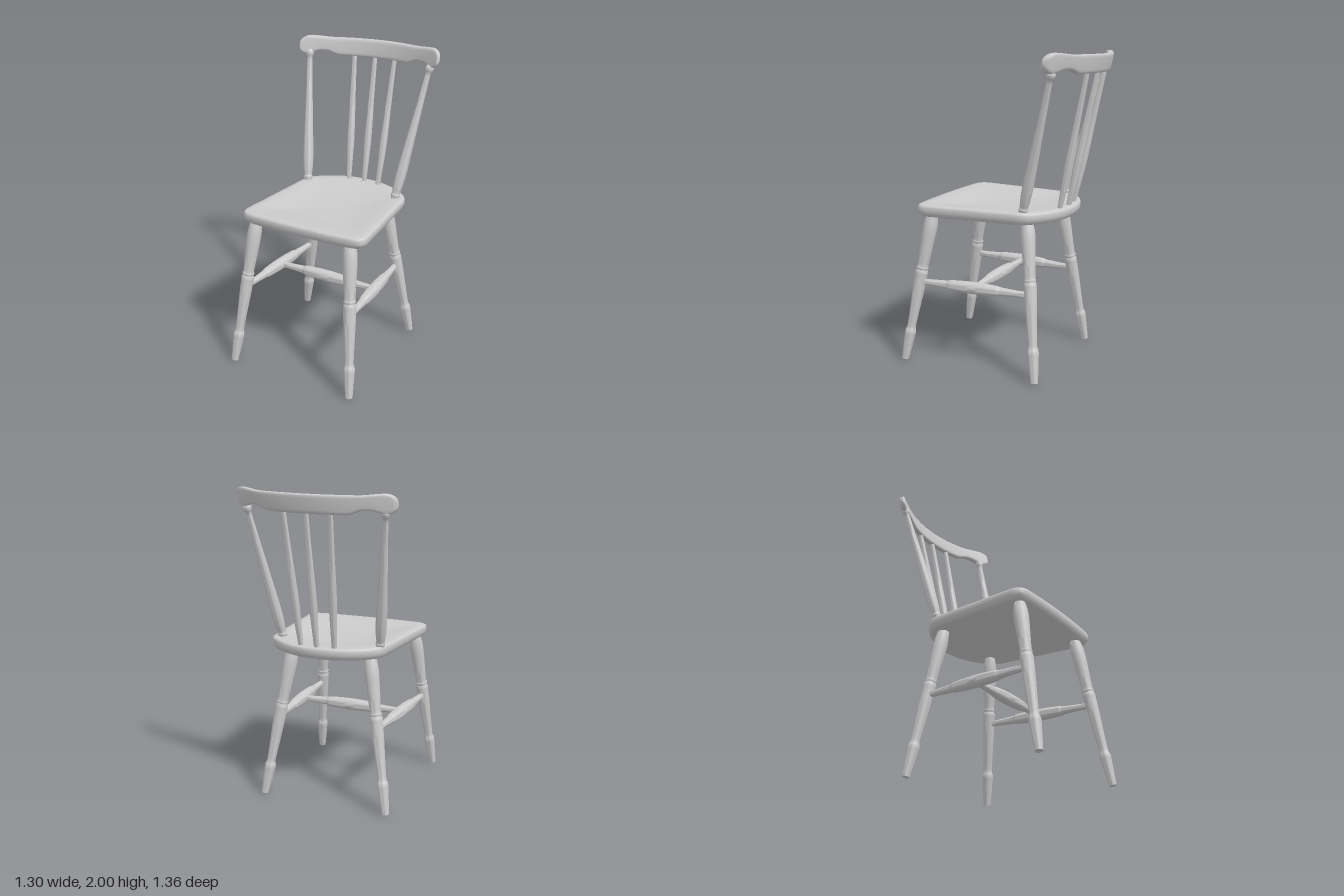
import * as THREE from 'three';
import { toCreasedNormals } from 'three/addons/utils/BufferGeometryUtils.js';

const material = new THREE.MeshStandardMaterial({ color: 0xcccccc });
const V = (x, y, z) => new THREE.Vector3(x, y, z);

function addMesh(parent, geometry, name) {
  const mesh = new THREE.Mesh(geometry, material);
  mesh.name = name;
  parent.add(mesh);
  return mesh;
}

// Turned wooden part from point a to point b; profile is [fraction of length, radius]
function turned(parent, name, a, b, profile) {
  const length = a.distanceTo(b);
  const curve = new THREE.SplineCurve(profile.map(([t, r]) => new THREE.Vector2(r, t * length)));
  const points = curve.getPoints(profile.length * 5);
  points.unshift(new THREE.Vector2(0, 0));
  points.push(new THREE.Vector2(0, length));
  const mesh = addMesh(parent, toCreasedNormals(new THREE.LatheGeometry(points, 24), 0.8), name);
  mesh.position.copy(a);
  mesh.quaternion.setFromUnitVectors(V(0, 1, 0), b.clone().sub(a).normalize());
}

// Skin over closed rings of equal point count
function loft(rings) {
  const n = rings[0].length, index = [];
  for (let i = 0; i < rings.length - 1; i++) {
    for (let j = 0; j < n; j++) {
      const k = (j + 1) % n, a = i * n + j, b = i * n + k;
      index.push(a, b, b + n, a, b + n, a + n);
    }
  }
  const geometry = new THREE.BufferGeometry().setFromPoints(rings.flat());
  geometry.setIndex(index);
  geometry.computeVertexNormals();
  return geometry;
}

// Seat: rounded outline with a bowed back, eased edges and a shallow dish
function buildSeat() {
  const s = new THREE.Shape();
  s.moveTo(0, 0.445);
  s.quadraticCurveTo(0.2, 0.445, 0.36, 0.432);
  s.quadraticCurveTo(0.445, 0.425, 0.434, 0.34);
  s.lineTo(0.383, -0.25);
  s.quadraticCurveTo(0.378, -0.305, 0.345, -0.335);
  s.quadraticCurveTo(0.2, -0.475, 0, -0.475);
  s.quadraticCurveTo(-0.2, -0.475, -0.345, -0.335);
  s.quadraticCurveTo(-0.378, -0.305, -0.383, -0.25);
  s.lineTo(-0.434, 0.34);
  s.quadraticCurveTo(-0.445, 0.425, -0.36, 0.432);
  s.quadraticCurveTo(-0.2, 0.445, 0, 0.445);
  const outline = s.getSpacedPoints(120).slice(0, -1);
  const levels = [
    [0, 0.975], [0.94, 0.975], [0.965, 0.98], [0.985, 0.995], [1, 1.008], [1, 1.035], [0.992, 1.044],
    [0.975, 1.049], [0.9, 1.048], [0.78, 1.046], [0.68, 1.039], [0.55, 1.031], [0.35, 1.026], [0, 1.024],
  ];
  const rings = levels.map(([k, y]) => outline.map((p) => V(p.x * k, y, p.y * k)));
  return toCreasedNormals(loft(rings), 0.7);
}

// Crest rail: curved in plan, leaning back, with rounded ears and a notched lower edge
function buildRail() {
  const half = 0.51, steps = 64, sides = 20, rings = [];
  const smooth = THREE.MathUtils.smoothstep;
  for (let i = 0; i <= steps; i++) {
    const u = -Math.cos((i / steps) * Math.PI), x = u * half, ax = Math.abs(x);
    const ear = Math.sqrt(Math.max(0, 1 - Math.max(0, (ax - 0.45) / 0.06) ** 2));
    const notch = 0.028 * (smooth(ax, 0.24, 0.34) - 0.8 * smooth(ax, 0.37, 0.46));
    const top = 1.981 + 0.012 * smooth(ax, 0.3, 0.46);
    const bottom = 1.868 + notch;
    const mid = (top + bottom) / 2, h = ((top - bottom) / 2) * ear;
    const d = 0.024 * Math.min(1, ear * 1.6);
    const ring = [];
    for (let j = 0; j < sides; j++) {
      const a = (j / sides) * Math.PI * 2, c = Math.cos(a), q = Math.sin(a);
      const y = mid + h * Math.sign(c) * Math.abs(c) ** 0.45;
      const z = d * Math.sign(q) * Math.abs(q) ** 0.45;
      ring.push(V(x, y + 0.014 * x, z - 0.612 + 0.55 * x * x - 0.2 * (y - 1.93)));
    }
    rings.push(ring);
  }
  return loft(rings);
}

export function createModel() {
  const root = new THREE.Group();
  root.name = 'chair';
  const chair = new THREE.Group();
  chair.name = 'turnedChair';
  chair.rotation.y = THREE.MathUtils.degToRad(24.8);
  root.add(chair);

  addMesh(chair, buildSeat(), 'seat').position.x = 0.038;
  addMesh(chair, buildRail(), 'crestRail').position.x = 0.021;

  const leg = [
    [0, 0.023], [0.08, 0.029], [0.155, 0.034], [0.18, 0.036], [0.2, 0.034], [0.225, 0.028], [0.3, 0.03],
    [0.48, 0.038], [0.57, 0.04], [0.6, 0.041], [0.615, 0.036], [0.63, 0.039], [0.645, 0.035], [0.75, 0.04],
    [0.88, 0.046], [0.95, 0.041], [1, 0.03],
  ];
  const post = [
    [0, 0.025], [0.02, 0.027], [0.035, 0.03], [0.05, 0.026], [0.1, 0.031], [0.2, 0.034], [0.4, 0.03],
    [0.7, 0.022], [0.93, 0.017], [0.945, 0.018], [0.96, 0.025], [0.98, 0.027], [1, 0.02],
  ];
  const spindle = [[0, 0.015], [0.1, 0.018], [0.3, 0.024], [0.45, 0.023], [0.7, 0.018], [1, 0.014]];
  const stretcher = [
    [0, 0.018], [0.12, 0.021], [0.26, 0.027], [0.3, 0.033], [0.5, 0.039], [0.7, 0.033], [0.74, 0.027],
    [0.88, 0.021], [1, 0.018],
  ];

  // Mirrored legs, side stretchers and back posts
  for (const side of [-1, 1]) {
    const name = side > 0 ? 'left' : 'right';
    const at = (x, y, z) => V(0.02 + side * x, y, z);
    turned(chair, name + 'FrontLeg', at(0.434, 0.004, 0.535), at(0.338, 0.99, 0.36), leg);
    turned(chair, name + 'BackLeg', at(0.423, 0.004, -0.39), at(0.262, 0.99, -0.262), leg);
    turned(chair, name + 'SideStretcher', at(0.383, 0.53, 0.442), at(0.336, 0.53, -0.32), stretcher);
    turned(chair, name + 'BackPost', at(0.33, 1.035, -0.262), at(0.443, 1.895, -0.492), post);
  }
  turned(chair, 'crossStretcher', V(-0.34, 0.53, 0.06), V(0.38, 0.53, 0.06), stretcher);

  // Three back spindles
  for (const i of [-1, 0, 1]) {
    turned(chair, 'backSpindle', V(0.038 + i * 0.111, 1.03, i ? -0.418 : -0.431),
      V(0.018 + i * 0.149, 1.9, i ? -0.594 : -0.604), spindle);
  }
  return root;
}
